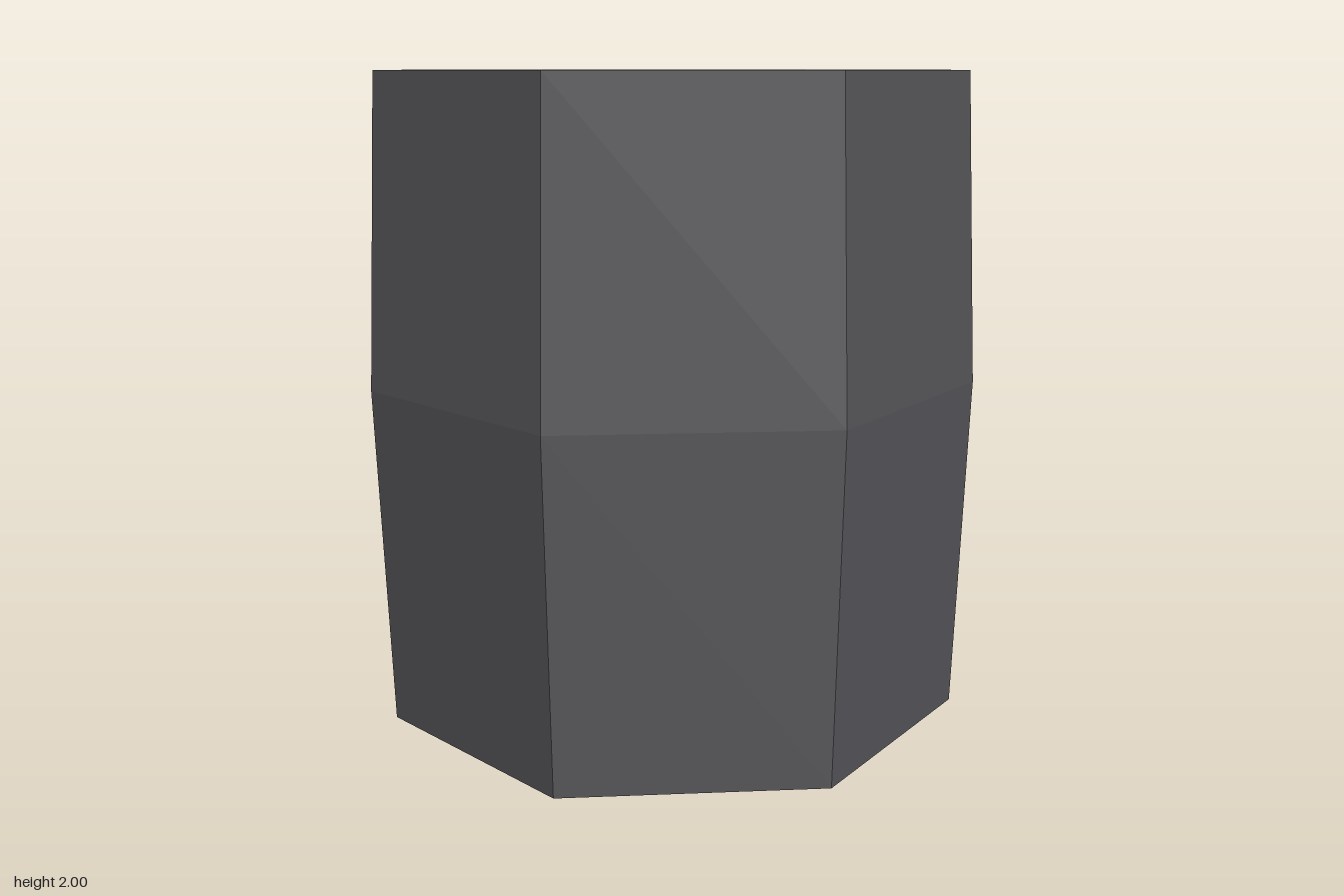
import * as THREE from 'three';

const SIDES = 7;
const END_RADIUS = 0.907;
const BELLY_RADIUS = 0.947;
const CORE_RADIUS = 0.434;

export function createModel() {
  const bark = new THREE.MeshStandardMaterial({ color: 0x58575b, flatShading: true, side: THREE.DoubleSide });
  bark.name = 'darkGrey';
  const wood = new THREE.MeshStandardMaterial({ color: 0x9c9488, flatShading: true, side: THREE.DoubleSide });
  wood.name = 'warmTan';

  const group = new THREE.Group();
  group.name = 'sevenSidedBarrel';

  const add = (name, geometry, material, y = 0) => {
    const mesh = new THREE.Mesh(geometry, material);
    mesh.name = name;
    mesh.position.set(-0.047, y, 0); // one corner points to +x, so the axis sits off centre
    group.add(mesh);
  };

  // Bulging shell, open at the bottom
  const profile = [[END_RADIUS, 0], [BELLY_RADIUS, 1.05], [END_RADIUS, 2]]
    .map(([r, y]) => new THREE.Vector2(r, y));
  add('outerShell', new THREE.LatheGeometry(profile, SIDES, Math.PI / 2), bark);

  // Flat top: tan ring around a dark core
  add('topRing', new THREE.RingGeometry(CORE_RADIUS, END_RADIUS, SIDES).rotateX(-Math.PI / 2), wood, 2);
  add('topCore', new THREE.CircleGeometry(CORE_RADIUS, SIDES).rotateX(-Math.PI / 2), bark, 2);

  return group;
}
